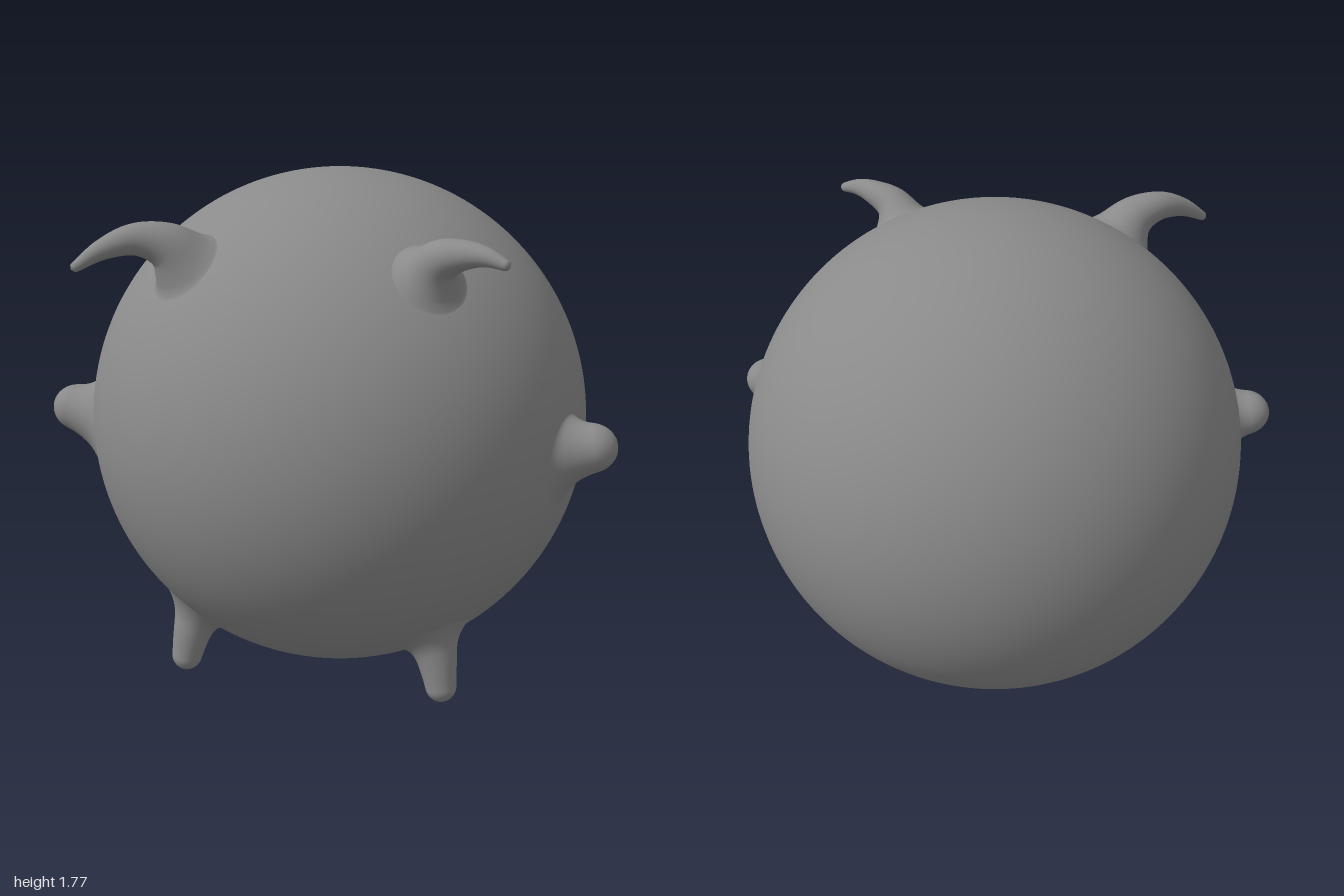
import * as THREE from 'three';
import { mergeVertices } from 'three/addons/utils/BufferGeometryUtils.js';

const R = 0.885;
const CENTRE = new THREE.Vector3(0, R, 0);
const BLEND = 0.07;
const material = new THREE.MeshStandardMaterial({ color: 0x8a8a8a });

// Smooth maximum: melts a limb's root into the body's surface.
function smoothMax(a, b) {
  const h = Math.max(BLEND - Math.abs(a - b), 0) / BLEND;
  return Math.max(a, b) + h * h * BLEND / 4;
}

// Tapered limb swept from inside the body along a path, rounded at the tip.
// Its buried rows are lifted into a skirt lying just under the body's skin.
function limb(name, path, radii) {
  const rows = 90, sides = 40;
  const curve = new THREE.CatmullRomCurve3(path.map(p => new THREE.Vector3(...p)));
  const width = new THREE.CatmullRomCurve3(radii.map((r, i) => new THREE.Vector3(r, i, 0)));
  const tip = radii[radii.length - 1] / curve.getLength();
  const geo = new THREE.TubeGeometry(curve, rows, 1, sides);
  const pos = geo.attributes.position, nor = geo.attributes.normal;
  const p = new THREE.Vector3(), n = new THREE.Vector3();
  for (let i = 0; i < pos.count; i++) {
    const u = Math.floor(i / (sides + 1)) / rows;
    let r = width.getPoint(u).x;
    const cap = Math.max(0, (u - 1 + tip) / tip);
    r *= Math.sqrt(Math.max(0, 1 - cap * cap));
    n.fromBufferAttribute(nor, i);
    p.fromBufferAttribute(pos, i).sub(n).addScaledVector(n, r).sub(CENTRE);
    p.setLength(smoothMax(p.length(), R - 0.002)).add(CENTRE);
    pos.setXYZ(i, p.x, p.y, p.z);
  }
  geo.deleteAttribute('uv');
  geo.deleteAttribute('normal');
  const smooth = mergeVertices(geo, 1e-5);
  smooth.computeVertexNormals();
  const mesh = new THREE.Mesh(smooth, material);
  mesh.name = name;
  return mesh;
}

export function createModel() {
  const model = new THREE.Group();
  model.name = 'roundCreature';

  // Round body
  const body = new THREE.Mesh(new THREE.SphereGeometry(R, 128, 96), material);
  body.position.copy(CENTRE);
  body.name = 'body';
  model.add(body);

  // Stubby arms and pointed feet, mirrored
  for (const [side, s] of [['left', 1], ['right', -1]]) {
    model.add(limb(side + 'Arm',
      [[0.68 * s, 0.86, 0.22], [0.85 * s, 0.905, 0.255], [1.0 * s, 0.935, 0.265]],
      [0.17, 0.15, 0.115, 0.084, 0.072]));
    model.add(limb(side + 'Foot',
      [[0.37 * s, 0.36, 0.35], [0.44 * s, 0.18, 0.415], [0.475 * s, 0.012, 0.45]],
      [0.15, 0.12, 0.08, 0.06, 0.048]));
  }

  // Curled ears; the right one droops further
  const earRadii = [0.14, 0.115, 0.066, 0.038, 0.014];
  model.add(limb('leftEar',
    [[0.33, 1.38, 0.4], [0.39, 1.5, 0.46], [0.44, 1.57, 0.505], [0.51, 1.596, 0.54], [0.58, 1.6, 0.575], [0.655, 1.58, 0.61]],
    earRadii));
  model.add(limb('rightEar',
    [[-0.33, 1.38, 0.4], [-0.39, 1.5, 0.46], [-0.45, 1.575, 0.505], [-0.53, 1.6, 0.55], [-0.62, 1.575, 0.605], [-0.71, 1.515, 0.655]],
    earRadii));

  return model;
}
